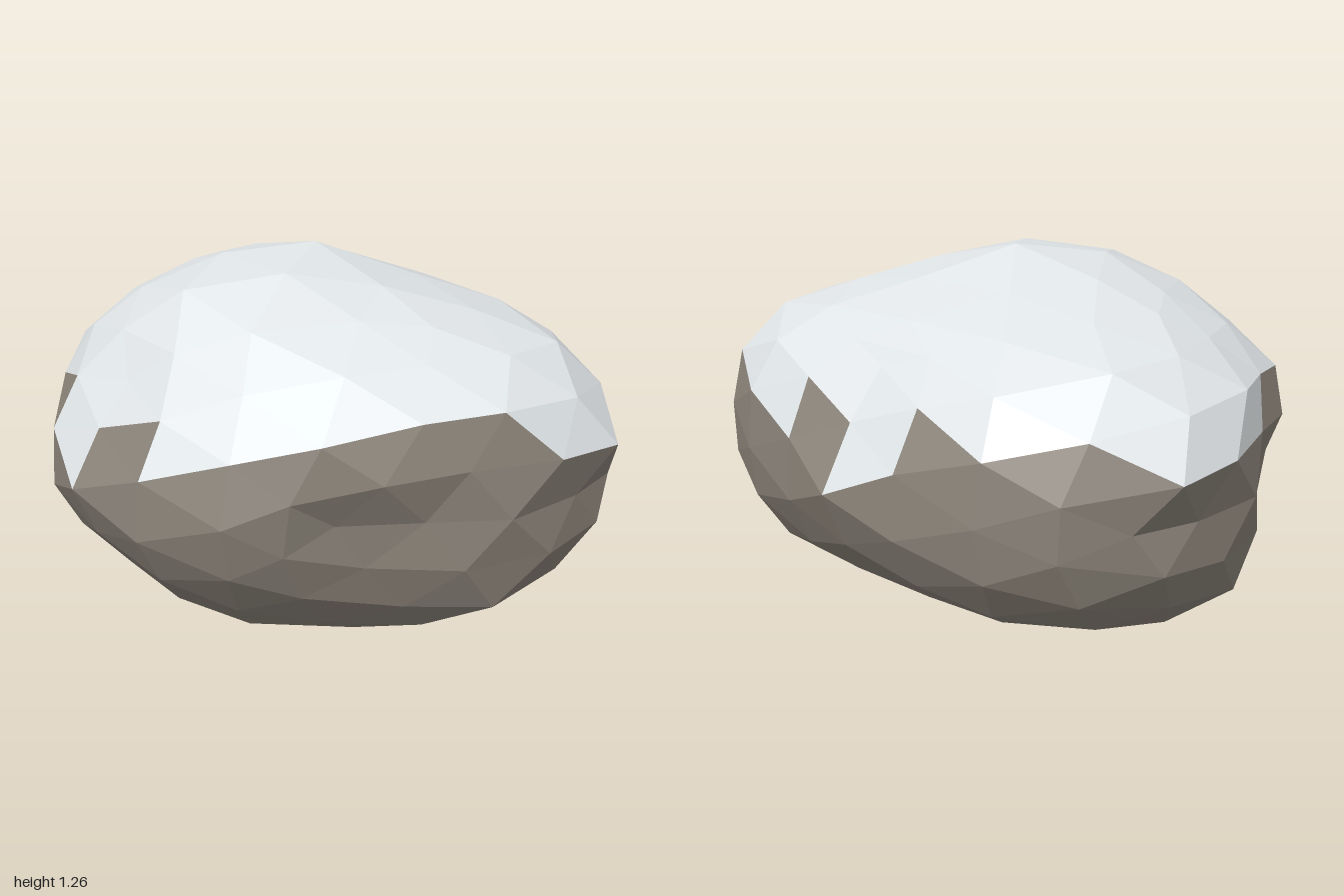
import * as THREE from 'three';

const T = (1 + Math.sqrt(5)) / 2;
const { lerp, clamp } = THREE.MathUtils;

// piecewise linear lookup in [input, output] pairs
function ramp(pairs, v) {
  for (let i = 1; i < pairs.length; i++) {
    const [a, fa] = pairs[i - 1], [b, fb] = pairs[i];
    if (v <= b) return lerp(fa, fb, Math.max(0, (v - a) / (b - a)));
  }
  return pairs[pairs.length - 1][1];
}

// waist width, overhang of the snow line, height and depth, from back (-1) to front (1)
const WIDTH = [[-1, 0.9], [-0.81, 1.05], [-0.6, 1.03], [-0.45, 1.07], [-0.3, 1], [-0.16, 1], [0, 0.97], [0.16, 0.93],
  [0.3, 0.87], [0.53, 0.82], [0.6, 0.84], [0.7, 0.88], [0.85, 1.0], [1, 1.03]];
const OVERHANG = [[-0.81, 0], [-0.6, 0.04], [-0.45, 0.06], [-0.16, 0.03], [0.16, 0], [0.3, 0.07], [0.59, 0.15], [0.81, 0.02]];
const HEIGHT = [[-1, 1.04], [-0.85, 1.03], [-0.7, 0.88], [-0.53, 0.85], [-0.26, 0.9], [0, 1], [0.26, 1.05],
  [0.53, 1.02], [0.7, 0.98], [0.85, 0.91], [1, 0.95]];
const DEPTH = [[-1, -0.9], [-0.95, -0.84], [-0.85, -0.785], [-0.7, -0.69], [-0.6, -0.61], [-0.45, -0.46],
  [-0.16, -0.2], [0, -0.04], [0.26, 0.21], [0.53, 0.48], [0.7, 0.63], [0.85, 0.76], [0.96, 0.84], [1, 0.9]];

// unit sphere direction -> point on the boulder
function shape(d) {
  const y2 = d.y * d.y, ax = Math.abs(d.x);
  const bump = 1 + 0.006 * Math.sin(d.x * 9 + d.y * 5 + 1) * Math.sin(d.z * 8 - d.y * 7);

  // wider near top and bottom, with the snow line jutting over the waist
  const flare = 1 + Math.min(0.1, 0.35 * y2) + 0.15 * y2 ** 4;
  const overhang = 1 + ramp(OVERHANG, d.z) * clamp(d.y / 0.24, 0, 1);
  const x = d.x * ramp(WIDTH, d.z) * flare * overhang * bump;

  // the top falls off to the sides, the underside only towards the back
  const side = Math.min(1, ax / 0.6);
  const shoulder = d.y > 0 ? 0.95 - 0.12 * y2 * y2 : 1 - 0.08 * clamp(-2 * d.z, 0, 1);
  const y = 0.61 + d.y * (d.y > 0 ? 0.65 : 0.605) * lerp(ramp(HEIGHT, d.z), shoulder, side) * bump;

  // front and back faces slope inwards above and below the waist
  let z = ramp(DEPTH, d.z);
  if (d.z > 0) {
    const slope = d.y > 0 ? d.y : Math.max(0, -d.y - 0.2);
    z -= 0.14 * clamp((d.z - 0.6) / 0.25, 0, 1) * slope * Math.max(0, 1 - 1.4 * ax);
    z -= 0.065 * clamp((ax - 0.28) / 0.2, 0, 1) * clamp(d.z / 0.3, 0, 1);
  } else {
    const slope = Math.max(0, Math.abs(d.y) - (d.y > 0 ? 0.08 : 0.2));
    const k = clamp((-d.z - 0.5) / 0.3, 0, 1);
    z += k * (0.31 * slope * Math.max(0, 1 - 2 * ax) + 0.035 * d.x);
  }
  return new THREE.Vector3(x, y, z);
}

// the snow line rises to both sides, with a few stepped faces along it
function isSnow(c) {
  const h = (T * c.y - Math.abs(c.x)) / Math.hypot(1, T);
  if (h > 0) {
    const bareStep = h < 0.24 && c.x > 0 && c.x < 0.22;
    const bareTip = h < 0.12 && c.x > -0.42 && c.x < -0.29;
    return !(Math.abs(c.z) > 0.8 && (bareStep || bareTip));
  }
  return h > -0.24 && c.z > -0.52 && c.z < (c.x > 0 ? -0.1 : 0.22);
}

export function createModel() {
  const group = new THREE.Group();
  group.name = 'snowyBoulder';
  const rockMaterial = new THREE.MeshStandardMaterial({ name: 'rock', color: 0x8b8379, flatShading: true });
  const snowMaterial = new THREE.MeshStandardMaterial({ name: 'snow', color: 0xe8edf0, flatShading: true });

  // sort the faces of a deformed icosphere into rock and snow
  const sphere = new THREE.IcosahedronGeometry(1, 3).getAttribute('position');
  const rock = [], snow = [];
  for (let i = 0; i < sphere.count; i += 3) {
    const dirs = [0, 1, 2].map(k => new THREE.Vector3().fromBufferAttribute(sphere, i + k));
    const centre = new THREE.Vector3().add(dirs[0]).add(dirs[1]).add(dirs[2]).divideScalar(3);
    (isSnow(centre) ? snow : rock).push(...dirs.map(shape));
  }

  const addPart = (name, points, material) => {
    const geometry = new THREE.BufferGeometry().setFromPoints(points);
    geometry.computeVertexNormals();
    const mesh = new THREE.Mesh(geometry, material);
    mesh.name = name;
    group.add(mesh);
  };
  addPart('rockBody', rock, rockMaterial);
  addPart('snowCap', snow, snowMaterial);
  return group;
}
